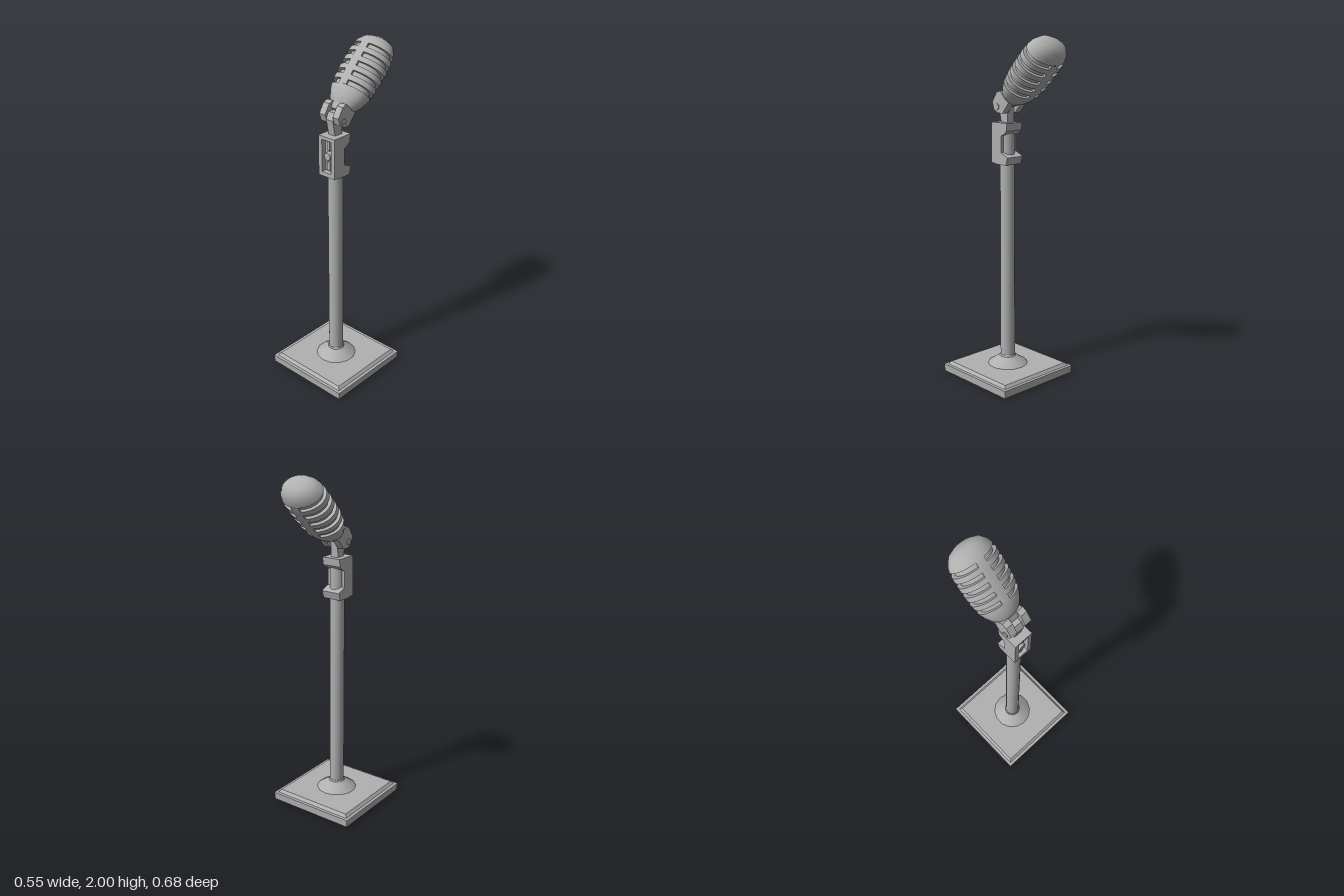
import * as THREE from 'three';
import { toCreasedNormals } from 'three/addons/utils/BufferGeometryUtils.js';

const AXIS_Z = 0.06; // the stand sits a little forward of the tilted head

export function createModel() {
  const model = new THREE.Group();
  model.name = 'microphoneOnStand';
  const metal = new THREE.MeshStandardMaterial({ color: 0xb0b0b0, side: THREE.DoubleSide });
  metal.name = 'grey metal';

  const add = (parent, name, geometry, x = 0, y = 0, z = 0, crease = 0.6) => {
    const mesh = new THREE.Mesh(toCreasedNormals(geometry, crease), metal);
    mesh.name = name;
    mesh.position.set(x, y, z);
    parent.add(mesh);
    return mesh;
  };
  const v2 = (pts) => pts.map(([a, b]) => new THREE.Vector2(a, b));

  // Square frustum from half widths
  const slab = (bottom, top, h) =>
    new THREE.CylinderGeometry(top * Math.SQRT2, bottom * Math.SQRT2, h, 4).rotateY(Math.PI / 4);

  // Side profile given as [z, y], extruded across x and centred
  const side = (pts, width) =>
    new THREE.ExtrudeGeometry(new THREE.Shape(v2(pts)), { depth: width, bevelEnabled: false })
      .translate(0, 0, -width / 2).rotateY(-Math.PI / 2);

  // Base, foot and pole
  add(model, 'baseSlab', slab(0.272, 0.275, 0.045), 0, 0.0225, AXIS_Z, 0.2);
  add(model, 'basePlate', slab(0.257, 0.243, 0.017), 0, 0.0535, AXIS_Z, 0.2);
  add(model, 'baseFoot', new THREE.LatheGeometry(v2([[0.122, 0.06], [0.115, 0.067], [0.05, 0.11], [0.046, 0.12], [0, 0.12]]), 14), 0, 0, AXIS_Z);
  add(model, 'pole', new THREE.CylinderGeometry(0.042, 0.043, 1.4, 20), 0, 0.81, AXIS_Z);

  // Clamp with jaws at the back and a framed recess at the front
  add(model, 'clampBody', side([
    [0.1, 1.28], [0.01, 1.28], [-0.005, 1.325], [0.015, 1.335], [0.05, 1.35],
    [0.05, 1.445], [0.02, 1.46], [0.005, 1.475], [0, 1.52], [0.1, 1.52],
  ], 0.118), 0, 0, 0, 0.2);
  const rect = (Type, x, y0, y1) => new Type(v2([[-x, y0], [x, y0], [x, y1], [-x, y1]]));
  const frame = rect(THREE.Shape, 0.059, 1.285, 1.52);
  frame.holes.push(rect(THREE.Path, 0.034, 1.31, 1.5));
  add(model, 'clampFrame', new THREE.ExtrudeGeometry(frame, { depth: 0.031, bevelEnabled: false }), 0, 0, 0.1, 0.2);
  add(model, 'clampScrew', new THREE.CylinderGeometry(0.022, 0.026, 0.028, 12).rotateX(Math.PI / 2), 0, 1.405, 0.112);
  for (const y of [1.345, 1.465]) {
    add(model, 'clampRidge', new THREE.BoxGeometry(0.02, 0.05, 0.018), 0, y, 0.106, 0.2);
  }

  // Swivel: neck, knuckle, forked ears
  add(model, 'neck', side([
    [0.085, 1.51], [0.032, 1.51], [0.03, 1.62], [0.05, 1.65], [0.085, 1.65], [0.105, 1.61],
  ], 0.048), 0, 0, 0, 0.2);
  for (const s of [-1, 1]) {
    add(model, s > 0 ? 'leftEar' : 'rightEar', side([
      [0.095, 1.592], [0.06, 1.575], [0.025, 1.575], [-0.025, 1.635], [0.045, 1.7], [0.075, 1.69], [0.11, 1.635],
    ], 0.042), s * 0.049, 0, 0, 0.2);
  }
  add(model, 'swivelPin', new THREE.CylinderGeometry(0.018, 0.018, 0.15, 12).rotateZ(Math.PI / 2), 0, 1.61, 0.07);
  add(model, 'earBridge', side([[-0.02, 1.64], [0.01, 1.612], [0.06, 1.665], [0.045, 1.698]], 0.1), 0, 0, 0, 0.2);

  // Head: flattened capsule leaning back, axis along local y
  const head = new THREE.Group();
  head.name = 'head';
  head.position.set(0, 1.807, -0.145);
  head.rotation.x = -Math.PI / 4;
  model.add(head);

  const PROFILE = [
    [0, -0.228], [0.055, -0.226], [0.088, -0.195], [0.108, -0.16], [0.124, -0.12], [0.134, -0.06],
    [0.137, 0.02], [0.136, 0.1], [0.132, 0.14], [0.121, 0.172], [0.096, 0.204], [0.06, 0.221], [0, 0.227],
  ];
  const radiusAt = (y) => {
    const i = PROFILE.findIndex((p) => p[1] >= y);
    const [a, b] = [PROFILE[i - 1], PROFILE[i]];
    return a[0] + ((b[0] - a[0]) * (y - a[1])) / (b[1] - a[1]);
  };
  const turn = (pts, segments = 32, start = 0, length = Math.PI * 2) =>
    new THREE.LatheGeometry(v2(pts), segments, start, length).scale(1, 1, 0.75);
  const INSET = 0.84;

  // Slots are cut between a bottom cup, slats and a top cap
  const SLOTS = 5, PITCH = 0.058, GAP = 0.028, FIRST = -0.1;
  const low = FIRST - GAP / 2;
  const high = FIRST + (SLOTS - 1) * PITCH + GAP / 2;
  const between = (a, b) => [
    [radiusAt(a), a], ...PROFILE.filter((p) => p[1] > a && p[1] < b), [radiusAt(b), b],
  ];

  add(head, 'cup', turn([...PROFILE.filter((p) => p[1] < low), [radiusAt(low), low], [radiusAt(low) * INSET, low]]));
  add(head, 'cap', turn([[radiusAt(high) * INSET, high], [radiusAt(high), high], ...PROFILE.filter((p) => p[1] > high)]));
  add(head, 'core', turn(between(low, high).map(([r, y]) => [r * INSET, y])));
  for (let i = 0; i < SLOTS - 1; i++) {
    const a = FIRST + i * PITCH + GAP / 2;
    const b = a + PITCH - GAP;
    add(head, 'slat', turn([[radiusAt(a) * INSET, a], ...between(a, b), [radiusAt(b) * INSET, b]]));
  }

  // Upright ribs at front and back
  for (const [name, angle] of [['frontRib', 0], ['backRib', Math.PI]]) {
    const half = 0.2;
    add(head, name, turn(between(low, high).map(([r, y]) => [r * 1.003, y]), 4, angle - half, half * 2));
    // Rib flanks closing the slot ends
    for (const s of [-1, 1]) {
      const phi = angle + s * half;
      const pts = between(low, high);
      const flank = new THREE.PlaneGeometry(1, 1, 1, pts.length - 1);
      const pos = flank.attributes.position;
      pts.forEach(([r, y], i) => [INSET, 1].forEach((k, j) =>
        pos.setXYZ(i * 2 + j, r * k * Math.sin(phi), y, r * k * Math.cos(phi) * 0.75)));
      add(head, name + 'Flank', flank);
    }
  }
  return model;
}
